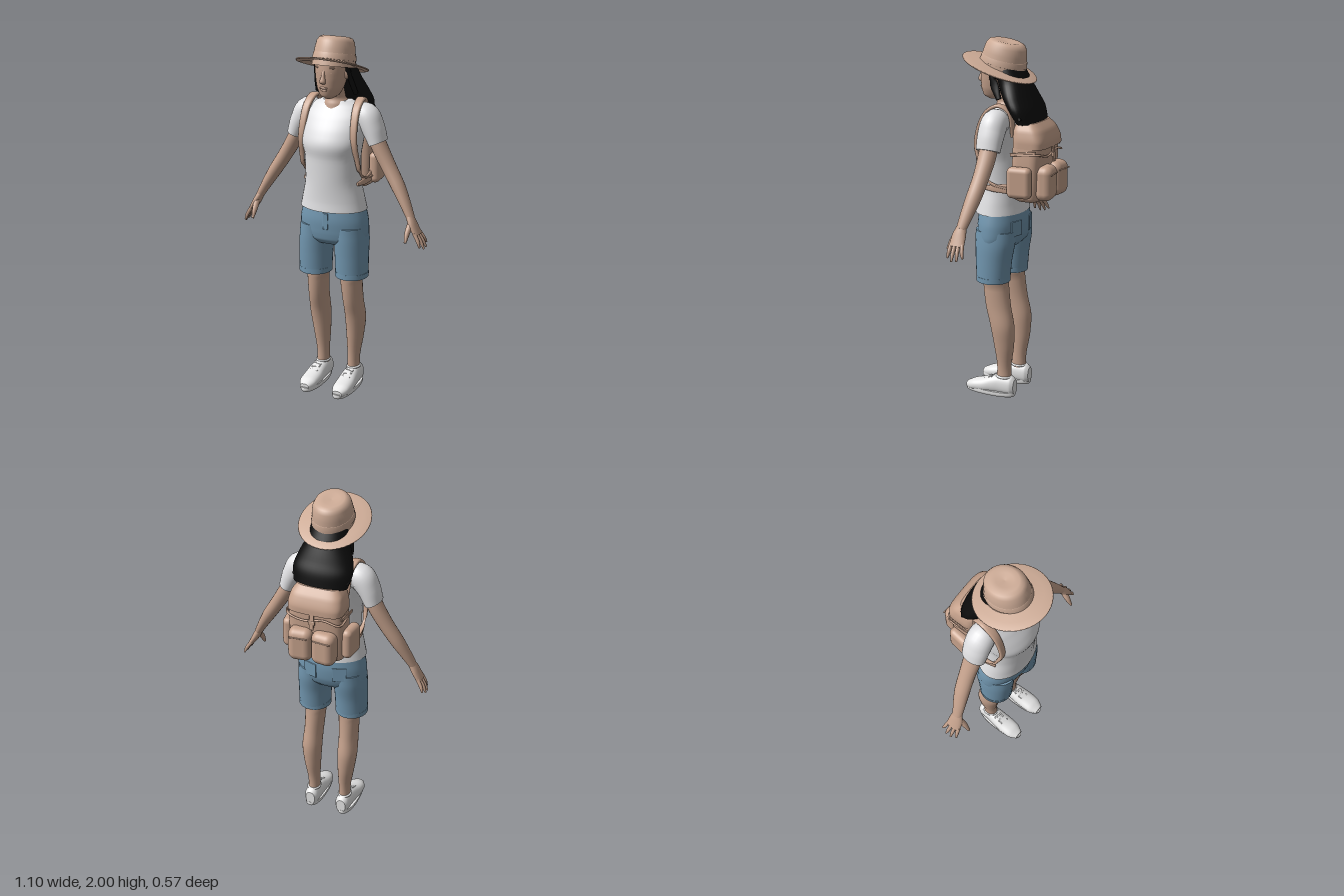
import * as THREE from 'three';
import { RoundedBoxGeometry } from 'three/addons/geometries/RoundedBoxGeometry.js';

const mat = (name, color) => Object.assign(new THREE.MeshStandardMaterial({ color }), { name });
const X = new THREE.Vector3(1, 0, 0), Y = new THREE.Vector3(0, 1, 0), Z = new THREE.Vector3(0, 0, 1);

// Smooth solid along points [x, y, z, ra, rb]; rb is measured along ref, ra across it.
// A fixed axis keeps every ring parallel; e > 2 squares the section off.
function sweep(points, { ref = Z, axis = null, n = 20, e = 2, steps = 5 } = {}) {
  const path = new THREE.CatmullRomCurve3(points.map(p => new THREE.Vector3(p[0], p[1], p[2])));
  const size = new THREE.CatmullRomCurve3(points.map(p => new THREE.Vector3(p[3], p[4], 0)));
  const m = (points.length - 1) * steps, pos = [], idx = [];
  const bend = v => Math.sign(v) * Math.abs(v) ** (2 / e);
  const along = axis && Math.sign(path.getPoint(1).sub(path.getPoint(0)).dot(axis));
  for (let i = 0; i <= m; i++) {
    const c = path.getPoint(i / m), r = size.getPoint(i / m);
    const t = axis ? axis.clone().multiplyScalar(along) : path.getTangent(i / m);
    const b = ref.clone().addScaledVector(t, -ref.dot(t)).normalize();
    const a = b.clone().cross(t);
    for (let j = 0; j < n; j++) {
      const w = j / n * Math.PI * 2;
      const p = c.clone().addScaledVector(a, r.x * bend(Math.cos(w))).addScaledVector(b, r.y * bend(Math.sin(w)));
      pos.push(p.x, p.y, p.z);
      if (i < m) {
        const k = i * n + j, l = i * n + (j + 1) % n;
        idx.push(k, l, l + n, k, l + n, k + n);
      }
    }
  }
  // end caps
  for (const end of [0, m]) {
    const base = pos.length / 3, c = path.getPoint(end / m);
    pos.push(...pos.slice(end * n * 3, (end + 1) * n * 3), c.x, c.y, c.z);
    for (let j = 0; j < n; j++) {
      const k = base + j, l = base + (j + 1) % n;
      idx.push(base + n, end ? k : l, end ? l : k);
    }
  }
  const g = new THREE.BufferGeometry();
  g.setAttribute('position', new THREE.Float32BufferAttribute(pos, 3));
  g.setIndex(idx);
  g.computeVertexNormals();
  return g;
}

export function createModel() {
  const root = new THREE.Group();
  root.name = 'hiker';
  const skin = mat('skin', 0xc3a08b), felt = mat('hatFelt', 0xcdab96), canvas = mat('packCanvas', 0xc6a28c);
  const cotton = mat('shirtCotton', 0xe2e2e4), denim = mat('denim', 0x7196af);
  const black = mat('hairBlack', 0x0b0b0b), white = mat('shoeWhite', 0xe6e6e6);

  const add = (name, geo, material, p = [0, 0, 0], r = [0, 0, 0], s = [1, 1, 1]) => {
    const mesh = new THREE.Mesh(geo, material);
    mesh.name = name;
    mesh.position.set(...p);
    mesh.rotation.set(...r);
    mesh.scale.set(...s);
    root.add(mesh);
  };
  const stack = { axis: Y, n: 36 };
  const ball = new THREE.SphereGeometry(1, 24, 16);
  const box = (w, h, d, r) => new RoundedBoxGeometry(w, h, d, 4, r);
  const lathe = pts => new THREE.LatheGeometry(pts.map(p => new THREE.Vector2(...p)), 48);

  // Torso
  add('shirt', sweep([
    [0, 1.065, .063, .19, .137], [0, 1.12, .065, .178, .131], [0, 1.24, .07, .155, .13],
    [0, 1.35, .075, .156, .13], [0, 1.43, .08, .17, .135], [0, 1.5, .062, .178, .125],
    [0, 1.57, .04, .178, .102], [0, 1.62, .027, .15, .075], [0, 1.65, .025, .085, .06]], stack), cotton);
  add('neck', sweep([[0, 1.585, .04, .072, .074], [0, 1.635, .034, .07, .068],
    [0, 1.67, .04, .05, .052], [0, 1.73, .055, .05, .055]], stack), skin);

  // Head and face
  add('head', sweep([
    [0, 1.672, .115, .02, .028], [0, 1.69, .11, .047, .063], [0, 1.73, .1, .068, .084],
    [0, 1.78, .09, .08, .097], [0, 1.83, .083, .086, .103], [0, 1.88, .08, .085, .1],
    [0, 1.93, .075, .065, .08]], stack), skin);
  add('nose', sweep([[0, 1.835, .176, .008, .008], [0, 1.8, .187, .01, .012], [0, 1.77, .194, .017, .014],
    [0, 1.758, .186, .01, .006]], { axis: Y }), skin);
  add('upperLip', ball, skin, [0, 1.736, .183], [0, 0, 0], [.024, .006, .008]);
  add('lowerLip', ball, skin, [0, 1.725, .18], [0, 0, 0], [.02, .007, .009]);

  // Hair: cap, long fall and shallow locks
  add('hairCap', ball, black, [0, 1.84, .045], [0, 0, 0], [.1, .088, .1]);
  add('hairFall', sweep([
    [0, 1.85, .025, .1, .08], [0, 1.78, -.008, .114, .083], [0, 1.7, -.045, .148, .084],
    [0, 1.64, -.08, .164, .076], [0, 1.57, -.112, .15, .06]], stack), black);
  for (let i = -4; i <= 4; i++) {
    const u = i / 4, back = .045 * u * u;
    add('hairLock', sweep([
      [u * .075, 1.755, -.075 + back, .018, .014], [u * .11, 1.68, -.113 + back, .024, .014],
      [u * .138, 1.57 + .02 * u * u, -.158 + back, .024, .012]], { n: 12 }), black);
  }

  // Sun hat, tipped back
  add('hatBrim', lathe([[.09, .004], [.15, -.002], [.187, -.009], [.19, -.005], [.187, -.001], [.15, .007], [.09, .016]]),
    felt, [0, 1.845, .08], [-.33, 0, 0], [1, 1, 1.12]);
  add('hatCrown', lathe([[.112, -.03], [.108, .02], [.104, .06], [.097, .098], [.085, .119], [.066, .127], [.04, .125], [0, .12]]),
    felt, [0, 1.86, .06], [-.2, 0, 0], [1, 1, 1.16]);
  add('hatBand', lathe([[.111, .005], [.1125, .006], [.1085, .037], [.105, .038]]), felt, [0, 1.86, .06], [-.22, 0, 0], [1, 1, 1.16]);

  // Shorts
  add('shortsHips', sweep([
    [0, 1.075, .055, .18, .125], [0, 1, .055, .196, .131], [0, .94, .055, .2, .126],
    [0, .9, .058, .194, .115], [0, .872, .06, .17, .09]], stack), denim);
  add('fly', box(.03, .09, .008, .003), denim, [.008, 1.01, .184]);

  // Backpack body
  const squared = { axis: Y, n: 48, e: 4 };
  add('packBody', sweep([
    [0, 1.15, -.125, .12, .06], [0, 1.175, -.125, .15, .082], [0, 1.35, -.13, .154, .088],
    [0, 1.47, -.132, .147, .088], [0, 1.53, -.125, .132, .075], [0, 1.565, -.115, .1, .05]], squared), canvas);
  add('packLid', sweep([
    [0, 1.445, -.142, .154, .097], [0, 1.48, -.141, .154, .096], [0, 1.535, -.13, .142, .083],
    [0, 1.575, -.117, .115, .06]], squared), canvas);
  add('lidStrap', box(.026, .12, .01, .004), canvas, [0, 1.42, -.236], [.1, 0, 0]);
  add('lidBuckle', box(.038, .024, .012, .005), canvas, [0, 1.4, -.238]);
  add('carryHandle', new THREE.TorusGeometry(.03, .007, 8, 20, Math.PI), canvas, [0, 1.555, -.075]);
  add('packCord', new THREE.TubeGeometry(new THREE.CatmullRomCurve3([
    [-.155, 1.41, -.1], [-.145, 1.4, -.215], [-.06, 1.42, -.228], [.06, 1.4, -.228], [.145, 1.42, -.215], [.155, 1.41, -.1]
  ].map(p => new THREE.Vector3(...p))), 48, .006, 8), canvas);

  for (const s of [1, -1]) {
    const side = s > 0 ? 'left' : 'right';
    const put = (name, pts, material, opt) =>
      add(side + name, sweep(pts.map(([x, ...rest]) => [x * s, ...rest]), opt), material);

    // Face halves and side strands
    add(side + 'Eyelid', ball, skin, [s * .034, 1.815, .166], [0, s * .3, 0], [.017, .009, .011]);
    add(side + 'Brow', ball, skin, [s * .035, 1.842, .167], [0, s * .3, -s * .1], [.022, .006, .01]);
    add(side + 'Ear', ball, skin, [s * .086, 1.8, .085], [0, 0, 0], [.012, .026, .016]);
    put('HairStrand', [[.086, 1.88, .1, .014, .012], [.096, 1.79, .075, .012, .016], [.112, 1.69, .03, .012, .016]], black);

    // Sleeve and arm
    put('Sleeve', [[.11, 1.565, .025, .06, .06], [.168, 1.572, .026, .074, .072], [.21, 1.52, .027, .062, .073],
      [.244, 1.438, .028, .049, .068]], cotton, { n: 28 });
    put('Arm', [[.215, 1.5, .028, .042, .048], [.25, 1.42, .028, .042, .05], [.31, 1.315, .034, .039, .045],
      [.37, 1.22, .046, .036, .043], [.42, 1.135, .062, .028, .036], [.458, 1.065, .076, .021, .028]], skin);

    // Hand with fingers spread in depth
    put('Palm', [[.452, 1.075, .075, .02, .028], [.475, 1.03, .08, .02, .04], [.505, .98, .08, .014, .043]], skin);
    [[.532, .93, .03], [.543, .914, .06], [.543, .91, .09], [.53, .922, .12]].forEach(([x, y, z], i) => {
      const z0 = .05 + i * .021;
      put('Finger', [[.495, .995, z0, .011, .011], [(.5 + x) / 2 + .004, (.985 + y) / 2, (z0 + z) / 2, .01, .01],
        [x, y, z, .005, .005]], skin, { n: 10 });
    });
    put('Thumb', [[.467, 1.045, .09, .018, .018], [.462, 1, .126, .015, .015], [.462, .95, .155, .007, .007]], skin, { n: 12 });

    // Shorts leg with cuff and back pocket
    put('ShortsLeg', [[.1, .97, .056, .092, .115], [.105, .9, .058, .094, .113], [.109, .8, .065, .092, .102],
      [.111, .68, .068, .09, .093]], denim, { axis: Y, n: 28 });
    put('ShortsCuff', [[.111, .71, .068, .092, .095], [.111, .682, .068, .092, .095]], denim, { axis: Y, n: 28 });
    add(side + 'BackPocket', box(.08, .085, .008, .003), denim, [s * .085, .985, -.061], [0, -s * .3, 0]);

    // Leg
    put('Leg', [[.1, .74, .06, .058, .074], [.102, .65, .055, .058, .074], [.106, .53, .04, .054, .074],
      [.109, .42, .015, .056, .07], [.104, .3, .007, .047, .058], [.096, .16, .01, .034, .041], [.096, .07, .012, .034, .044]],
      skin, { axis: Y, n: 24 });

    // Sneaker: upper, sole, laces
    put('ShoeUpper', [[.097, .056, -.057, .028, .042], [.097, .06, -.035, .041, .056], [.098, .06, .03, .045, .057],
      [.1, .055, .075, .049, .052], [.102, .044, .13, .053, .041], [.103, .036, .19, .05, .032], [.103, .027, .236, .028, .018]],
      white, { ref: Y, axis: Z, n: 28, e: 2.3 });
    put('ShoeSole', [[.1, 0, .093, .05, .148], [.1, .012, .093, .054, .153], [.1, .026, .093, .054, .152]], white,
      { axis: Y, n: 40, e: 2.3 });
    add(side + 'ShoeCollar', new THREE.TorusGeometry(.034, .007, 8, 28), white, [s * .097, .111, .01], [Math.PI / 2, 0, 0], [1, 1.2, 1]);
    for (let i = 0; i < 4; i++)
      add(side + 'Lace', box(.05, .007, .011, .003), white, [s * .101, .107 - i * .011, .073 + i * .023], [.45, i % 2 ? .2 : -.2, 0]);

    // Pack pockets
    add(side + 'FrontPocket', box(.134, .19, .1, .042), canvas, [s * .066, 1.258, -.225], [0, s * .1, 0]);
    add(side + 'FrontPocketSeam', box(.1, .007, .008, .003), canvas, [s * .066, 1.31, -.274], [0, s * .1, 0]);
    add(side + 'SidePocket', box(.062, .17, .135, .029), canvas, [s * .171, 1.267, -.118], [0, s * .12, 0]);
    add(side + 'CompressionStrap', box(.008, .018, .15, .003), canvas, [s * .154, 1.42, -.13], [.15, 0, 0]);

    // Shoulder strap over the front and back under the arm
    put('ShoulderStrap', [[.115, 1.5, -.055, .008, .022], [.128, 1.63, -.04, .009, .023], [.138, 1.662, .02, .01, .024],
      [.144, 1.625, .085, .011, .022], [.149, 1.55, .125, .011, .02], [.155, 1.45, .142, .011, .018], [.164, 1.36, .122, .009, .014],
      [.168, 1.29, .1, .006, .012], [.17, 1.245, .05, .006, .012], [.165, 1.225, -.06, .006, .012]],
      canvas, { ref: X, n: 16, e: 3 });
    put('HipWing', [[.158, 1.215, .1, .01, .006], [.17, 1.22, .03, .02, .007], [.16, 1.225, -.06, .03, .008]], canvas, { ref: X, n: 16, e: 3 });
  }
  return root;
}
